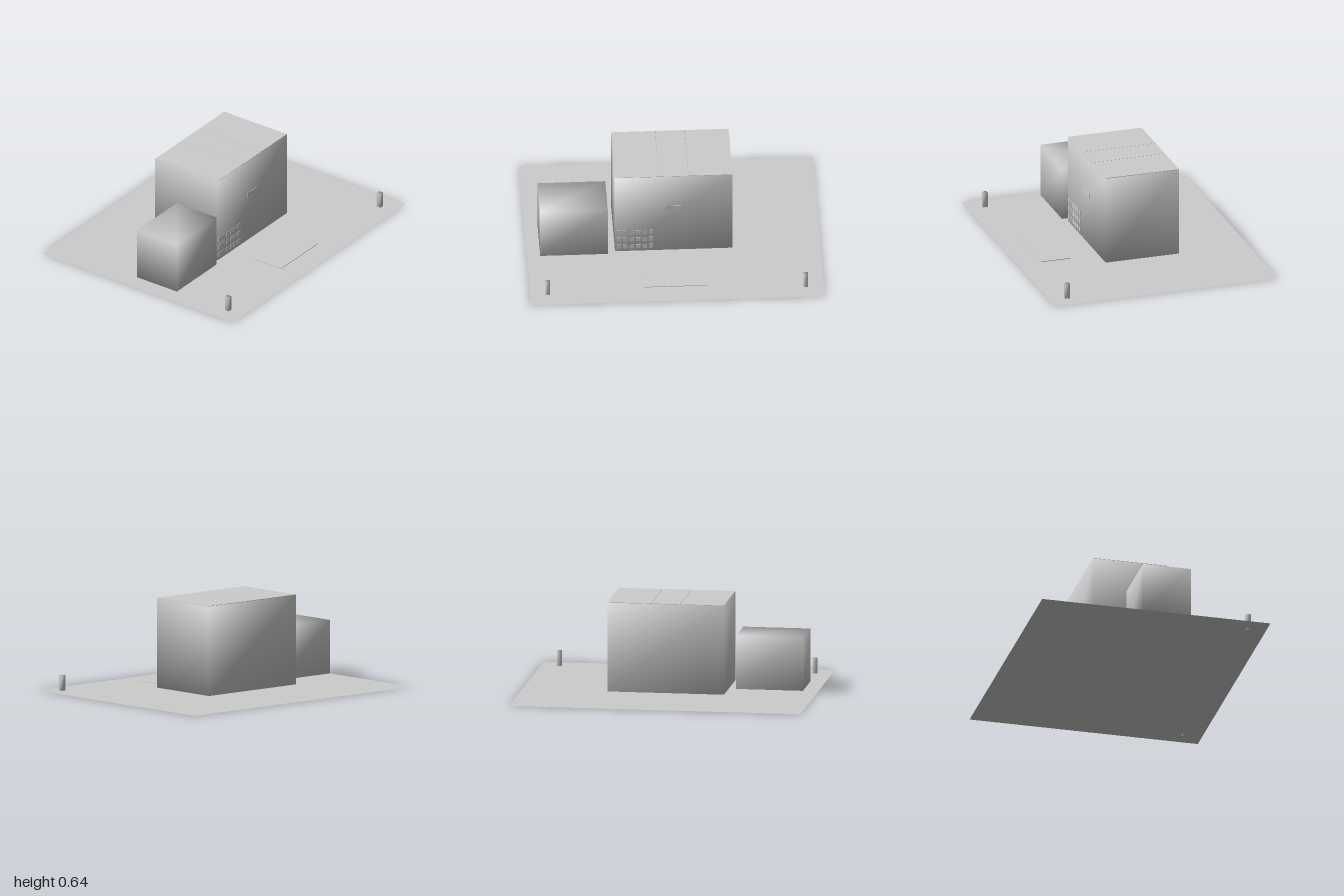
import * as THREE from 'three';
import { mergeVertices } from 'three/addons/utils/BufferGeometryUtils.js';

export function createModel() {
  const group = new THREE.Group();
  const grey = new THREE.MeshStandardMaterial({ color: 0xcccccc, side: THREE.DoubleSide });
  grey.name = 'plain grey';

  // Box given by its limits; soft boxes share corner normals
  function box(name, [x0, x1], [y0, y1], [z0, z1], soft = false) {
    let geo = new THREE.BoxGeometry(x1 - x0, y1 - y0, z1 - z0);
    if (soft) {
      geo.deleteAttribute('normal');
      geo.deleteAttribute('uv');
      geo = mergeVertices(geo);
      geo.computeVertexNormals();
    }
    const mesh = new THREE.Mesh(geo, grey);
    mesh.name = name;
    mesh.position.set((x0 + x1) / 2, (y0 + y1) / 2, (z0 + z1) / 2);
    group.add(mesh);
    return mesh;
  }

  // Ground sheet
  const ground = new THREE.Mesh(new THREE.PlaneGeometry(2, 1.6).rotateX(-Math.PI / 2), grey);
  ground.name = 'ground';
  group.add(ground);

  // Main building and smaller side building, standing just clear of the ground
  box('mainBuilding', [-0.4, 0.4], [0.02, 0.635], [-0.288, 0.237], true);
  box('sideBuilding', [-0.91, -0.45], [0.02, 0.387], [-0.07, 0.265], true);

  // Flat roof in three strips
  for (const [a, b] of [[-0.4, -0.101], [-0.099, 0.099], [0.101, 0.4]]) {
    box('roofPanel', [a, b], [0.634, 0.637], [-0.288, 0.237]);
  }

  // Low grid of small panels and a sign plate on the front wall
  for (let row = 0; row < 3; row++) {
    for (let col = 0; col < 6; col++) {
      const x = -0.39 + col * 0.044, y = 0.042 + row * 0.059;
      box('wallPanel', [x, x + 0.03], [y, y + 0.032], [0.236, 0.24]);
    }
  }
  box('signPlate', [-0.06, 0.05], [0.355, 0.388], [0.236, 0.24]);

  // Flat mat in front of the entrance
  box('entranceMat', [-0.22, 0.21], [0.002, 0.006], [0.422, 0.638]);

  // Posts at the two front corners
  for (const x of [-0.88, 0.875]) {
    box('post', [x - 0.015, x + 0.015], [0, 0.105], [0.657, 0.689], true);
  }

  return group;
}
